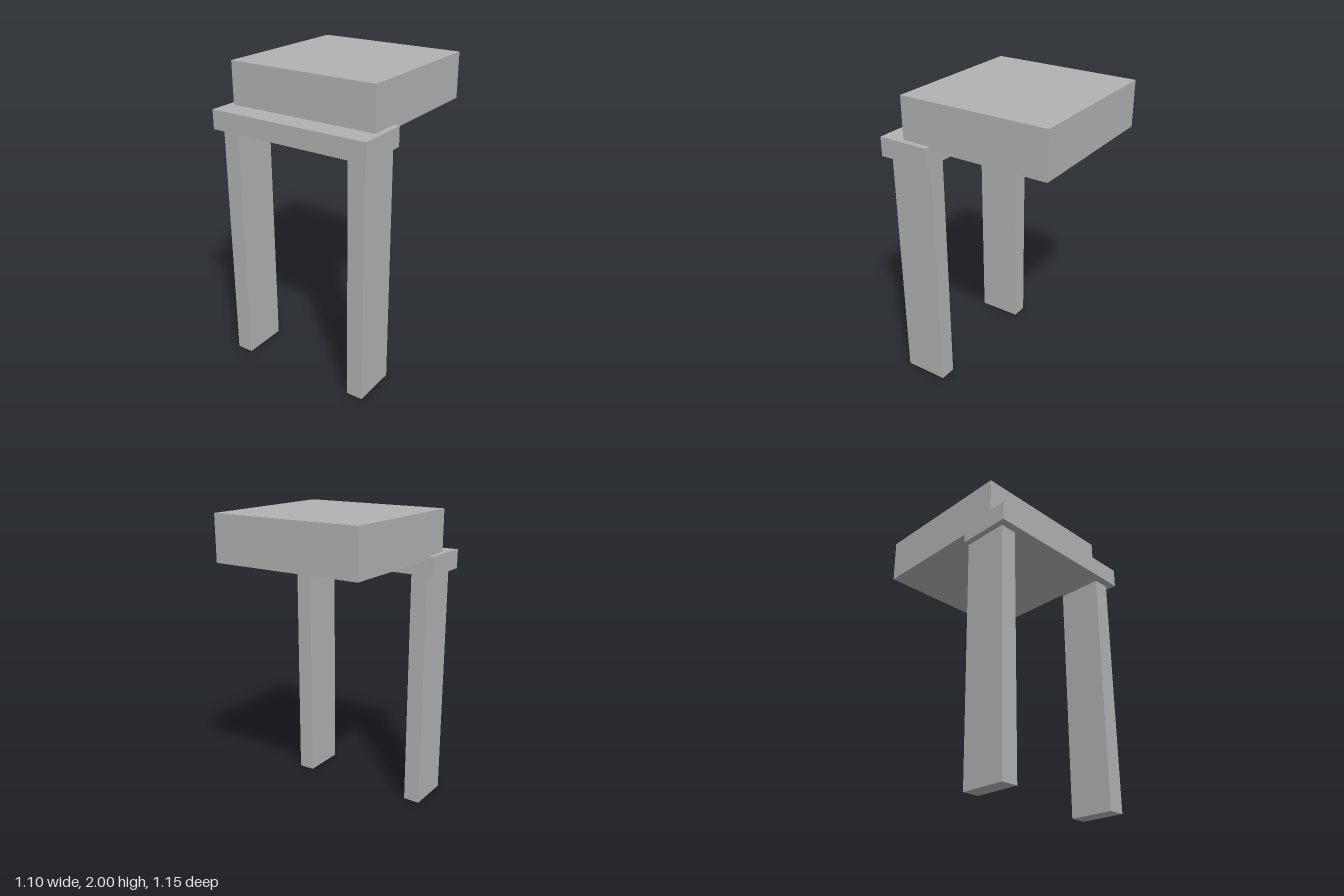
import * as THREE from 'three';

export function createModel() {
  const model = new THREE.Group();
  const stone = new THREE.MeshStandardMaterial({ color: 0xb2b2b2 });
  stone.name = 'plain grey';

  // Adds a box spanning the given minimum and maximum corners
  function addBox(name, [x0, y0, z0], [x1, y1, z1]) {
    const mesh = new THREE.Mesh(new THREE.BoxGeometry(x1 - x0, y1 - y0, z1 - z0), stone);
    mesh.position.set((x0 + x1) / 2, (y0 + y1) / 2, (z0 + z1) / 2);
    mesh.name = name;
    model.add(mesh);
  }

  // Two upright posts
  addBox('leftPost', [0.4, 0, 0.225], [0.5125, 1.6, 0.525]);
  addBox('rightPost', [-0.5125, 0, 0.225], [-0.4, 1.6, 0.525]);

  // Lintel across the posts, flush with their backs
  addBox('lintel', [-0.55, 1.6, 0.225], [0.55, 1.725, 0.575]);

  // Large block resting on the lintel and reaching out behind it
  addBox('upperBlock', [-0.5125, 1.7, -0.575], [0.5125, 2, 0.425]);

  return model;
}
